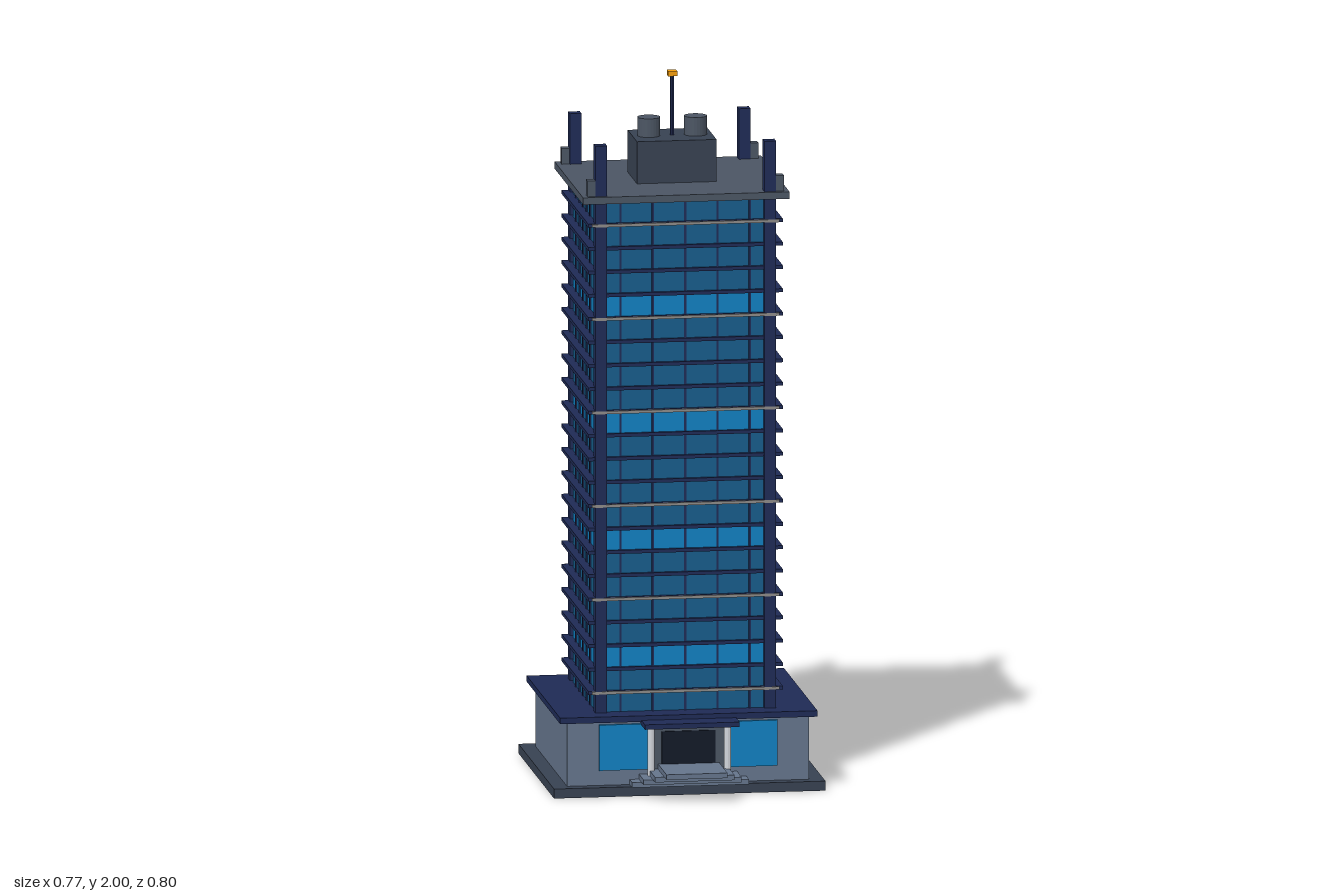
import * as THREE from 'three';

const mat = (color) => new THREE.MeshStandardMaterial({ color, flatShading: true });
const M = {
  slate: mat(0x374151), roof: mat(0x4b5563), stone: mat(0x64748b), navy: mat(0x1e2a55),
  glass: mat(0x165c8a), brightGlass: mat(0x0f7fc0), door: mat(0x111827),
  light: mat(0xd1d5db), trim: mat(0x8c8a88), amber: mat(0xf59e0b),
};
const ZC = -0.067; // centre line of the tower in z

export function createModel() {
  const root = new THREE.Group();
  root.name = 'officeTower';

  const group = (name) => {
    const g = new THREE.Group();
    g.name = name;
    root.add(g);
    return g;
  };
  const add = (parent, name, geometry, material, x, y, z) => {
    const m = new THREE.Mesh(geometry, material);
    m.name = name;
    m.position.set(x, y, z);
    parent.add(m);
    return m;
  };
  // Box given by width, y range, depth and centre
  const box = (parent, name, material, w, y0, y1, d, x = 0, z = ZC) =>
    add(parent, name, new THREE.BoxGeometry(w, y1 - y0, d), material, x, (y0 + y1) / 2, z);
  const cyl = (parent, name, material, r, y0, y1, x, z, sides = 24) =>
    add(parent, name, new THREE.CylinderGeometry(r, r, y1 - y0, sides), material, x, (y0 + y1) / 2, z);

  // Podium
  const podium = group('podium');
  box(podium, 'plinth', M.slate, 0.768, 0, 0.027, 0.662, 0, -0.069);
  box(podium, 'podiumWalls', M.stone, 0.684, 0.027, 0.21, 0.59);
  box(podium, 'podiumCornice', M.navy, 0.728, 0.208, 0.225, 0.624);
  box(podium, 'frontShopWindow', M.brightGlass, 0.504, 0.07, 0.2, 0.012, 0, 0.23);
  box(podium, 'backShopWindow', M.glass, 0.56, 0.07, 0.2, 0.012, 0, -0.361);

  // Entrance: steps, door, canopy and columns
  const entrance = group('entrance');
  for (let i = 0; i < 4; i++) {
    const y = 0.027 + i * 0.0145, front = 0.276 + i * 0.04;
    box(entrance, 'step', M.stone, 0.33 - i * 0.0525, y, y + 0.0145, front - 0.22, 0, (front + 0.22) / 2);
  }
  box(entrance, 'doorFrame', M.roof, 0.2, 0.07, 0.2, 0.01, 0, 0.234);
  box(entrance, 'door', M.door, 0.152, 0.085, 0.178, 0.012, 0, 0.237);
  box(entrance, 'canopy', M.navy, 0.268, 0.198, 0.212, 0.1, 0, 0.26);
  for (const s of [-1, 1]) cyl(entrance, 'entranceColumn', M.light, 0.01, 0.056, 0.198, s * 0.108, 0.254, 12);

  // Tower core and floors of glazing
  const tower = group('tower');
  const y0 = 0.215, floors = 22, h = (1.68 - y0) / floors;
  box(tower, 'core', M.slate, 0.488, y0, 1.68, 0.468);
  for (let k = 0; k < floors; k++) {
    const a = y0 + k * h, b = a + h;
    const pane = k % 5 === 2 ? M.brightGlass : M.glass;
    for (const s of [-1, 1]) {
      box(tower, 'longWindow', pane, 0.446, a, b, 0.012, 0, ZC + s * 0.234);
      box(tower, 'sideWindow', pane, 0.012, a, b, 0.394, s * 0.244, ZC);
    }
    if (k === 0) continue;
    box(tower, 'floorSlab', M.navy, 0.55, a - 0.005, a + 0.005, 0.5);
    // Pale band along front and back on every fourth floor
    if (k % 4 === 1)
      for (const s of [-1, 1])
        box(tower, 'paleBand', M.trim, 0.53, a - 0.004, a + 0.004, 0.008, 0, ZC + s * 0.252);
  }

  // Vertical mullions
  for (const s of [-1, 1]) {
    for (let i = -2; i <= 2; i++) {
      box(tower, 'longMullion', M.navy, 0.006, y0, 1.68, 0.012, i * 0.0915, ZC + s * 0.238);
      box(tower, 'sideMullion', M.navy, 0.012, y0, 1.68, 0.006, s * 0.248, ZC + i * 0.0655);
    }
  }

  // Corner columns rising above the roof, with short posts beside them
  const roof = group('roof');
  for (const sx of [-1, 1]) {
    for (const sz of [-1, 1]) {
      box(tower, 'cornerColumn', M.navy, 0.033, 0.22, 1.841, 0.033, sx * 0.239, ZC + sz * 0.238);
      box(roof, 'roofPost', M.roof, 0.026, 1.69, 1.742, 0.026, sx * 0.265, ZC + sz * 0.238);
    }
  }

  // Roof slab, plant room, tanks and mast
  box(roof, 'roofSlab', M.roof, 0.584, 1.677, 1.697, 0.53);
  box(roof, 'plantRoom', M.slate, 0.225, 1.697, 1.817, 0.174);
  for (const s of [-1, 1]) cyl(roof, 'roofTank', M.roof, 0.032, 1.817, 1.87, s * 0.066, ZC);
  cyl(roof, 'mast', M.navy, 0.006, 1.817, 1.988, 0, ZC, 8);
  box(roof, 'mastLight', M.amber, 0.026, 1.986, 2, 0.026);

  return root;
}
